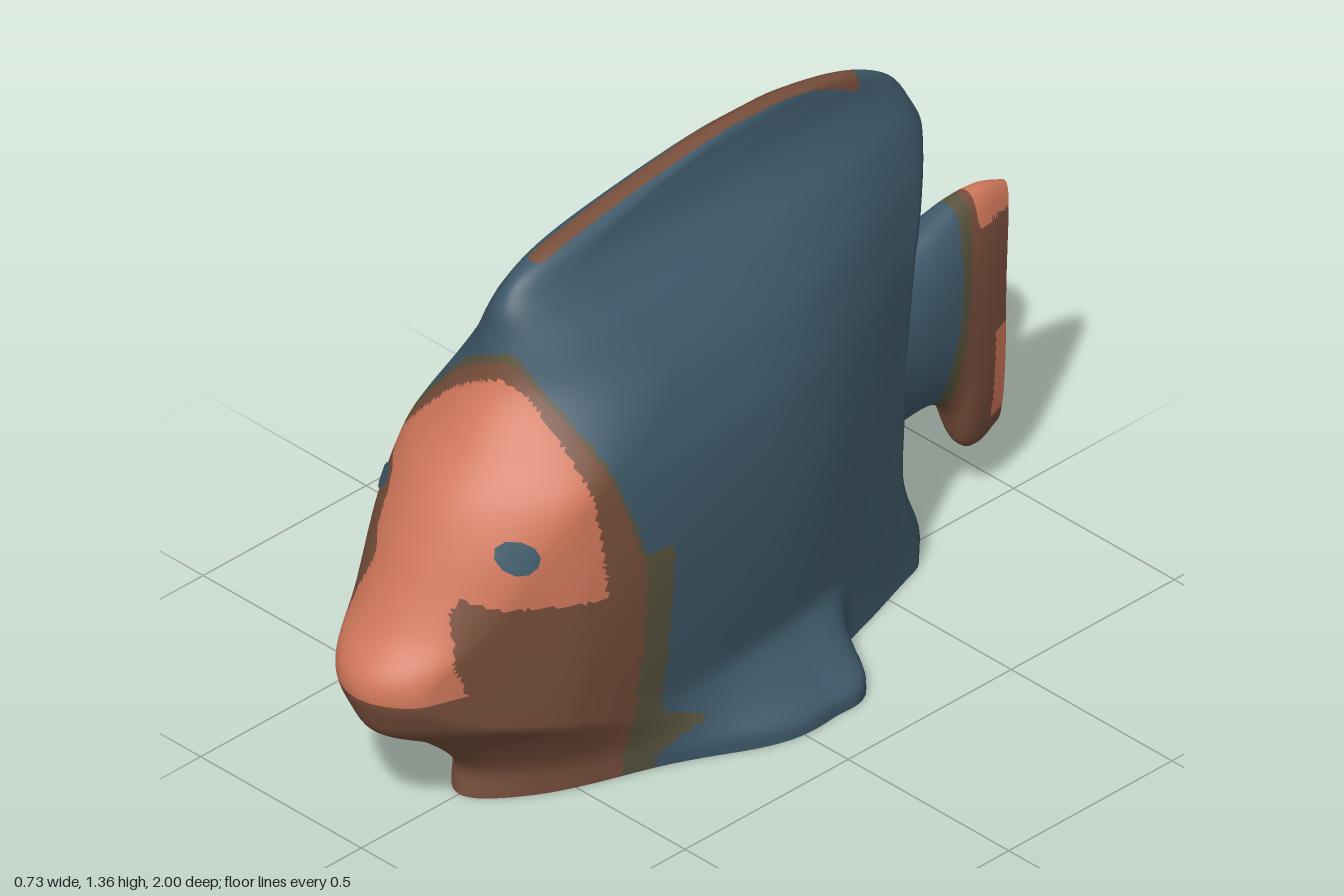
import * as THREE from 'three';

const mat = (name, color) => {
  const m = new THREE.MeshStandardMaterial({ color, side: THREE.DoubleSide });
  m.name = name;
  return m;
};

// Smooth curve through [u, value] pairs, u ascending
function curve(pts) {
  const slope = (i) => {
    const a = pts[Math.max(i - 1, 0)], b = pts[Math.min(i + 1, pts.length - 1)];
    return (b[1] - a[1]) / (b[0] - a[0]);
  };
  return (u) => {
    if (u <= pts[0][0]) return pts[0][1];
    let i = 0;
    while (i < pts.length - 2 && u > pts[i + 1][0]) i++;
    const h = pts[i + 1][0] - pts[i][0];
    const t = Math.min((u - pts[i][0]) / h, 1), t2 = t * t, t3 = t2 * t;
    return (2 * t3 - 3 * t2 + 1) * pts[i][1] + (t3 - 2 * t2 + t) * h * slope(i)
      + (3 * t2 - 2 * t3) * pts[i + 1][1] + (t3 - t2) * h * slope(i + 1);
  };
}

// Side profile by height: front edge, back edge, fullness, sideways lean, roundness of the front
const frontZ = curve([[0, 0.7], [0.08, 0.7], [0.2, 0.82], [0.28, 0.95], [0.34, 0.985], [0.4, 1],
  [0.45, 0.985], [0.52, 0.92], [0.6, 0.87], [0.7, 0.82], [0.8, 0.76], [0.9, 0.67], [1, 0.59],
  [1.1, 0.555], [1.19, 0.525], [1.255, 0.44], [1.3, 0.24], [1.335, 0], [1.355, -0.15]]);
const backZ = curve([[0, -0.68], [0.08, -0.68], [0.2, -0.63], [0.28, -0.61], [0.4, -0.62],
  [0.6, -0.64], [0.8, -0.68], [0.89, -0.71], [1.07, -0.745], [1.15, -0.715], [1.22, -0.67],
  [1.27, -0.6], [1.31, -0.5], [1.34, -0.35], [1.355, -0.25]]);
const fullness = curve([[0, 0.77], [0.1, 0.77], [0.2, 0.8], [0.4, 0.95], [0.6, 1.01], [0.8, 0.95],
  [0.92, 0.84], [1, 0.74], [1.1, 0.53], [1.17, 0.33], [1.23, 0.2], [1.3, 0.13], [1.34, 0.09], [1.355, 0]]);
const lean = curve([[0, 0], [0.2, 0], [0.4, -0.02], [0.6, -0.028], [0.9, -0.025], [1.1, -0.038], [1.2, -0.045], [1.355, -0.044]]);
const capLength = curve([[0, 0.68], [0.15, 0.45], [0.35, 0.11], [0.5, 0.13], [0.7, 0.17], [0.8, 0.22], [1, 0.35], [1.2, 0.2], [1.355, 0.1]]);
// Half width seen from above
const planWidth = curve([[-0.76, 0.05], [-0.6, 0.11], [-0.4, 0.195], [-0.2, 0.265], [0, 0.3],
  [0.3, 0.31], [0.55, 0.285], [0.7, 0.228], [0.8, 0.187], [0.92, 0.143], [1, 0.115]]);
// Pectoral fin spread by height
const finSpread = curve([[0, 0.14], [0.04, 0.135], [0.08, 0.09], [0.12, 0.05], [0.17, 0.01], [0.2, 0]]);

const round = (s) => Math.sqrt(Math.max(0, 1 - (1 - Math.min(Math.max(s, 0), 1)) ** 2));

function halfWidth(y, z, side) {
  const f = frontZ(y), b = backZ(y);
  const front = round((f - z) / Math.min(capLength(y), (f - b) * 0.5));
  const back = round((z - b) / 0.06);
  // Pectoral fins: square at the back, tapering forwards
  const d = z + 0.09;
  const flare = finSpread(y) * (d > 0
    ? Math.exp(-((d / (side > 0 ? 0.3 : 0.24)) ** 2.5))
    : 1.1 * Math.exp(-((-d / 0.18) ** 6)) - 0.1 * Math.exp(-((d / 0.05) ** 2)));
  return (planWidth(z) * fullness(y) + flare) * front * back;
}

// Grid of points joined into a skin, each triangle coloured by its centre
function skin(name, rows, cols, point, paint, materials) {
  const pos = [], lists = materials.map(() => []);
  for (let r = 0; r <= rows; r++)
    for (let c = 0; c < cols; c++) pos.push(...point(r / rows, (c / cols) * Math.PI * 2));
  const add = (...tri) => {
    const mid = [0, 1, 2].map((k) => tri.reduce((s, i) => s + pos[i * 3 + k], 0) / 3);
    lists[paint(...mid)].push(...tri);
  };
  for (let r = 0; r < rows; r++)
    for (let c = 0; c < cols; c++) {
      const a = r * cols + c, b = r * cols + (c + 1) % cols;
      add(a, b, a + cols);
      add(b, b + cols, a + cols);
    }
  const g = new THREE.BufferGeometry();
  g.setAttribute('position', new THREE.Float32BufferAttribute(pos, 3));
  g.setIndex(lists.flat());
  let start = 0;
  lists.forEach((l, i) => { g.addGroup(start, l.length, i); start += l.length; });
  g.computeVertexNormals();
  const mesh = new THREE.Mesh(g, materials);
  mesh.name = name;
  return mesh;
}

export function createModel() {
  const model = new THREE.Group();
  model.name = 'fish';
  const blue = mat('slate blue', 0x3e5969);
  const orange = mat('coral orange', 0xd0775b);
  const brown = mat('warm brown', 0x774e3b);
  const olive = mat('olive brown', 0x58543f);
  const colours = [blue, orange, brown, olive];
  const BLUE = 0, ORANGE = 1, BROWN = 2, OLIVE = 3;

  // Body and dorsal fin: horizontal slices, open underneath
  const bodyPoint = (t, a) => {
    const y = 1.355 * (1 - (1 - t) ** 1.4);
    const f = frontZ(y), b = backZ(y), side = Math.sign(Math.sin(a));
    const z = (f + b) / 2 + ((f - b) / 2) * Math.cos(a);
    return [lean(y) + side * halfWidth(y, z, side), y, z];
  };
  // Ragged edges of the muzzle patch
  const muzzleLeft = curve([[0.38, 0.15], [0.5, 0.135], [0.59, 0.105], [0.65, 0.14]]);
  const muzzleRight = curve([[0.38, -0.175], [0.44, -0.17], [0.53, -0.165], [0.6, -0.14],
    [0.64, -0.14], [0.67, -0.165], [0.73, -0.18], [0.76, -0.2]]);
  const bodyPaint = (x, y, z) => {
    // Crest of the dorsal fin
    if (y > 1.255 && z > -0.55 && Math.abs(x + 0.044) < 0.022) return BROWN;
    const w = Math.abs(x);
    const arch = 1.03 - 2.1 * x * x - 0.3 * w;
    const edge = y < 0.62 ? 0.4 : 0.41 + (y - 0.62) * 0.31;
    const band = y < 0.62 ? 0.08 + 0.11 * Math.exp(-(((y - 0.1) / 0.035) ** 2)) : 0.012;
    if (z < edge - band || (y > 0.62 && y > arch + 0.06)) return BLUE;
    if (z < edge || (y > 0.62 && y > arch + 0.04)) return OLIVE;
    const cheek = x < 0 ? 0.76 : 0.67 - 0.43 * x;
    const muzzle = y > 0.385 && z > 0.7 && x > muzzleRight(y) && x < muzzleLeft(y);
    if (y < arch && z > 0.51 + (y - 0.6) * 0.1 && (y > cheek || muzzle)) return ORANGE;
    return BROWN;
  };
  model.add(skin('body', 150, 220, bodyPoint, bodyPaint, colours));

  // Tail: upright oval rings from the stem to the fin edge
  const tailTop = curve([[0.5, 0.74], [0.68, 0.775], [0.76, 0.8], [0.85, 0.825], [0.93, 0.825], [1, 0.8]]);
  const tailBottom = curve([[0.5, 0.33], [0.68, 0.34], [0.76, 0.325], [0.82, 0.27], [0.86, 0.18], [0.92, 0.155], [1, 0.18]]);
  const tailWidth = curve([[0.5, 0.145], [0.6, 0.118], [0.68, 0.104], [0.8, 0.085], [0.9, 0.068], [1, 0.042]]);
  const tailPoint = (t, a) => {
    const d = 0.5 + 0.5 * Math.min(t / 0.85, 1);
    const shrink = t > 0.85 ? round((1 - t) / 0.15) : 1;
    const top = tailTop(d), bottom = tailBottom(d), s = Math.sin(a);
    const y = (top + bottom) / 2 + ((top - bottom) / 2) * s * (0.85 + 0.15 * shrink);
    const notch = Math.max(0, (d - 0.8) / 0.2) * (0.035 * (1 - s * s) + (s < 0 ? 0.03 * s * s : 0));
    return [-0.03 + tailWidth(d) * Math.sign(Math.cos(a)) * Math.abs(Math.cos(a)) ** 0.85 * shrink,
      y, -d + notch];
  };
  const tailPaint = (x, y, z) => {
    const edge = -0.785 - 0.18 * Math.max(0, y - 0.4);
    if (z > edge + 0.035) return BLUE;
    if (z > edge) return OLIVE;
    if (z < -0.88 && y > (x > -0.03 ? 0.75 : 0.775)) return ORANGE;
    if (x > -0.012 && z < -0.92 && y > 0.23 && y < 0.47) return ORANGE;
    return BROWN;
  };
  model.add(skin('tail', 80, 80, tailPoint, tailPaint, colours));

  // Eyes: thin discs wrapped on the cheeks
  for (const side of [1, -1]) {
    const g = new THREE.CircleGeometry(side > 0 ? 0.039 : 0.03, 10);
    const p = g.attributes.position;
    for (let i = 0; i < p.count; i++) {
      const z = 0.7 + p.getX(i), y = (side > 0 ? 0.71 : 0.73) + p.getY(i);
      p.setXYZ(i, lean(y) + side * (halfWidth(y, z, side) + 0.005), y, z + 0.003);
    }
    // Keep the face pointing outwards
    if (side > 0) g.index.array.reverse();
    g.computeVertexNormals();
    const eye = new THREE.Mesh(g, blue);
    eye.name = side > 0 ? 'leftEye' : 'rightEye';
    model.add(eye);
  }
  return model;
}
